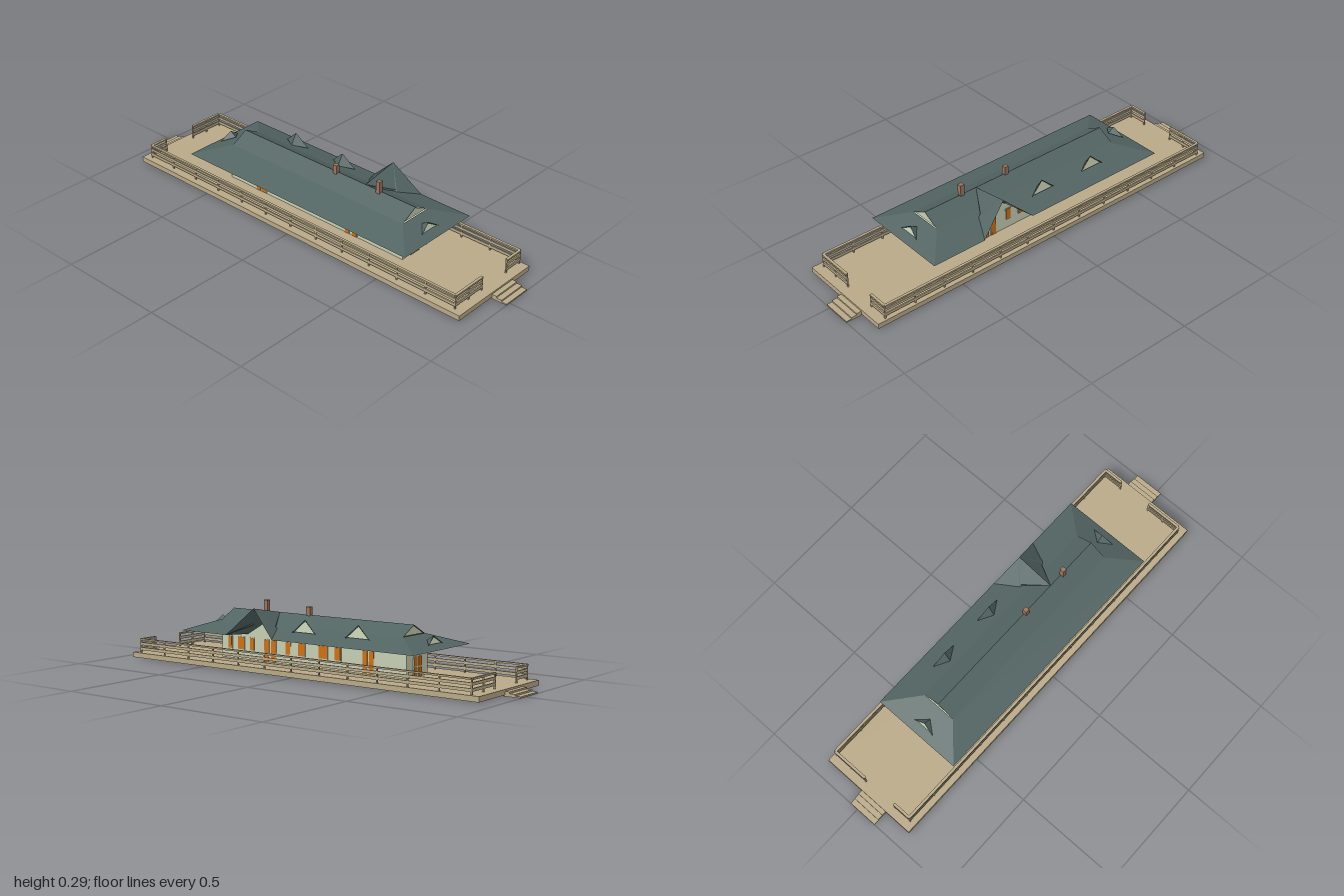
import * as THREE from 'three';

const mat = (name, color, side = THREE.FrontSide) => {
  const m = new THREE.MeshStandardMaterial({ color, side });
  m.name = name;
  return m;
};

export function createModel() {
  const model = new THREE.Group();
  model.name = 'stationBuilding';
  const wood = mat('tanWood', 0xb8a988);
  const wall = mat('paleGreenWall', 0xc6ceb3, THREE.DoubleSide);
  const frame = mat('doorFrame', 0xb4c4ac);
  const orange = mat('orangePanel', 0xd07010);
  const slate = mat('slateRoof', 0x526462, THREE.DoubleSide);
  const brick = mat('brick', 0x9c745e);

  // Box given by its minimum and maximum corners
  const box = (name, m, x0, x1, y0, y1, z0, z1, parent = model) => {
    const mesh = new THREE.Mesh(new THREE.BoxGeometry(x1 - x0, y1 - y0, z1 - z0), m);
    mesh.position.set((x0 + x1) / 2, (y0 + y1) / 2, (z0 + z1) / 2);
    mesh.name = name;
    parent.add(mesh);
    return mesh;
  };
  // Sheet of convex polygons, each a loop of corner points
  const sheet = (name, m, polys, parent = model) => {
    const v = [];
    for (const p of polys)
      for (let i = 1; i < p.length - 1; i++) v.push(...p[0], ...p[i], ...p[i + 1]);
    const g = new THREE.BufferGeometry();
    g.setAttribute('position', new THREE.Float32BufferAttribute(v, 3));
    g.computeVertexNormals();
    const mesh = new THREE.Mesh(g, m);
    mesh.name = name;
    parent.add(mesh);
    return mesh;
  };

  // Platform and end steps
  box('platform', wood, -0.235, 0.235, 0.005, 0.028, -0.93, 0.928);
  for (let i = 0; i < 3; i++) {
    const y = 0.02 - i * 0.007, d = 0.95 + i * 0.025;
    box('frontStep', wood, -0.021, 0.118, i === 2 ? 0 : y - 0.007, y, 0.92, d);
    box('backStep', wood, -0.1, 0.038, i === 2 ? 0 : y - 0.007, y, -d, -0.92);
  }

  // Railings: a wide cap, two planks and evenly spaced posts
  const railing = (name, x0, z0, x1, z1) => {
    const g = new THREE.Group();
    g.name = name;
    model.add(g);
    const alongX = z0 === z1;
    for (const [y0, y1, w] of [[0.087, 0.094, 0.006], [0.064, 0.076, 0.003], [0.04, 0.053, 0.003]])
      box('rail', wood, x0 - (alongX ? 0 : w), x1 + (alongX ? 0 : w), y0, y1,
        z0 - (alongX ? w : 0), z1 + (alongX ? w : 0), g);
    const n = alongX ? Math.max(1, Math.round((x1 - x0) / 0.08)) : 12;
    for (let i = 0; i <= n; i++) {
      const x = x0 + (x1 - x0) * i / n, z = z0 + (z1 - z0) * i / n;
      box('post', wood, x - 0.003, x + 0.003, 0.028, 0.09, z - 0.003, z + 0.003, g);
    }
  };
  railing('rightRailing', -0.207, -0.89, -0.207, 0.885);
  railing('leftRailing', 0.222, -0.89, 0.222, 0.885);
  railing('frontRailingA', -0.207, 0.885, -0.035, 0.885);
  railing('frontRailingB', 0.13, 0.885, 0.222, 0.885);
  railing('backRailingA', -0.207, -0.89, -0.12, -0.89);
  railing('backRailingB', 0.05, -0.89, 0.222, -0.89);

  // House walls
  box('walls', wall, -0.08, 0.077, 0.028, 0.146, -0.49, 0.515);

  // End double doors
  for (const [z, s] of [[0.515, 1], [-0.49, -1]]) {
    const plate = (name, m, x0, x1, y0, y1, t) =>
      box(name, m, x0, x1, y0, y1, Math.min(z, z + s * t), Math.max(z, z + s * t));
    plate('doorFrame', frame, -0.034, 0.027, 0.028, 0.118, 0.003);
    for (const [a, b] of [[-0.03, -0.008], [0.004, 0.024]])
      for (const [c, d] of [[0.03, 0.067], [0.073, 0.113]])
        plate('doorPanel', orange, a, b, c, d, 0.005);
  }

  // Side windows and doors: centre z, width, sill height
  const openings = [[0.465, 0.02, 0.072], [0.4, 0.034, 0.072], [0.335, 0.024, 0.072],
    [0.252, 0.024, 0.03], [0.212, 0.024, 0.03], [0.13, 0.024, 0.072], [0.055, 0.034, 0.072],
    [-0.062, 0.045, 0.072], [-0.14, 0.03, 0.072], [-0.283, 0.024, 0.03], [-0.316, 0.024, 0.03]];
  for (const [z, w, y] of openings)
    for (const [x, s] of [[0.077, 1], [-0.08, -1]]) {
      const plate = (name, m, p, t) => box(name, m, Math.min(x, x + s * t), Math.max(x, x + s * t),
        y - p, 0.126 + p, z - w / 2 - p, z + w / 2 + p);
      plate('openingFrame', frame, 0.003, 0.002);
      plate('openingPanel', orange, 0, 0.004);
    }

  // Main roof: kinked slopes, hipped ends and a notch for the cross gable
  const R = 0.243, K = 0.2, E = 0.153, zf = 0.51, zb = -0.475, ef = 0.63, eb = -0.615;
  const gz = 0.24, gn = 0.048, ge = 0.13, ex = 0.215;
  sheet('mainRoof', slate, [
    [[0, R, zb], [-0.08, K, zb], [-0.08, K, zf], [0, R, zf]],
    [[-0.08, K, zb], [-0.21, E, eb], [-0.21, E, ef], [-0.08, K, zf]],
    [[0, R, zf], [0.08, K, zf], [0.08, K, gz + gn], [0, R, gz]],
    [[0, R, gz], [0.08, K, gz - gn], [0.08, K, zb], [0, R, zb]],
    [[0.08, K, zf], [ex, E, ef], [ex, E, gz + ge], [0.08, K, gz + gn]],
    [[0.08, K, gz - gn], [ex, E, gz - ge], [ex, E, eb], [0.08, K, zb]],
    [[-0.08, K, zf], [-0.21, E, ef], [ex, E, ef], [0.08, K, zf]],
    [[0.08, K, zb], [ex, E, eb], [-0.21, E, eb], [-0.08, K, zb]],
  ]);

  // Sloping soffit from the eaves down to the walls
  const S = 0.143, e = E - 0.001;
  sheet('soffit', wall, [
    [[-0.21, e, ef], [-0.08, S, 0.515], [0.077, S, 0.515], [ex, e, ef]],
    [[ex, e, eb], [0.077, S, -0.49], [-0.08, S, -0.49], [-0.21, e, eb]],
    [[-0.21, e, eb], [-0.08, S, -0.49], [-0.08, S, 0.515], [-0.21, e, ef]],
    [[ex, e, ef], [0.077, S, 0.515], [0.077, S, gz + 0.12], [ex, e, gz + ge]],
    [[ex, e, gz - ge], [0.077, S, gz - 0.12], [0.077, S, -0.49], [ex, e, eb]],
  ]);

  // Small gables at both ends of the ridge
  for (const [z, s] of [[zf, 1], [zb, -1]])
    sheet('ridgeGable', wall, [[[-0.074 * s, K + 0.001, z - s * 0.004],
      [0.074 * s, K + 0.001, z - s * 0.004], [0, R - 0.003, z - s * 0.004]]]);

  // Cross gable with a ridge that rises outward
  const top = [0.18, 0.275, gz];
  for (const s of [1, -1]) {
    const corner = [ex, E, gz + s * ge];
    sheet('crossGableRoof', slate, [
      [[0, R, gz], corner, top],
      [[0, R, gz], [0.08, K, gz + s * gn], corner],
      [top, corner, [0.078, S, gz + s * 0.12], [0.078, 0.215, gz]],
    ]);
  }
  sheet('crossGableWall', wall, [[[0.079, S, gz + 0.12], [0.079, S, gz - 0.12], [0.079, 0.215, gz]]]);

  // Dormers, built facing +z around their own origin and turned into place
  const dormer = (x, z, turn, tail, apex, base, w, d) => {
    const g = new THREE.Group();
    g.name = 'dormer';
    g.position.set(x, 0, z);
    g.rotation.y = turn;
    model.add(g);
    const a = [0, apex, d * 0.75];
    for (const s of [1, -1])
      sheet('dormerRoof', slate, [[[0, tail, 0], [s * w, base, d], a]], g);
    sheet('dormerFace', wall, [[[-w * 0.85, base + 0.003, d * 0.9], [w * 0.85, base + 0.003, d * 0.9],
      [0, apex - 0.006, d * 0.72]]], g);
  };
  for (const z of [-0.01, -0.29]) dormer(0.105, z, Math.PI / 2, 0.192, 0.241, 0.182, 0.065, 0.04);
  dormer(-0.005, 0.55, 0, 0.185, 0.206, 0.169, 0.054, 0.044);
  dormer(-0.005, -0.535, Math.PI, 0.185, 0.206, 0.169, 0.054, 0.044);

  // Chimneys
  box('chimney', brick, -0.013, 0.007, 0.22, 0.292, 0.307, 0.327);
  box('chimney', brick, -0.013, 0.007, 0.22, 0.278, 0.066, 0.086);

  return model;
}
